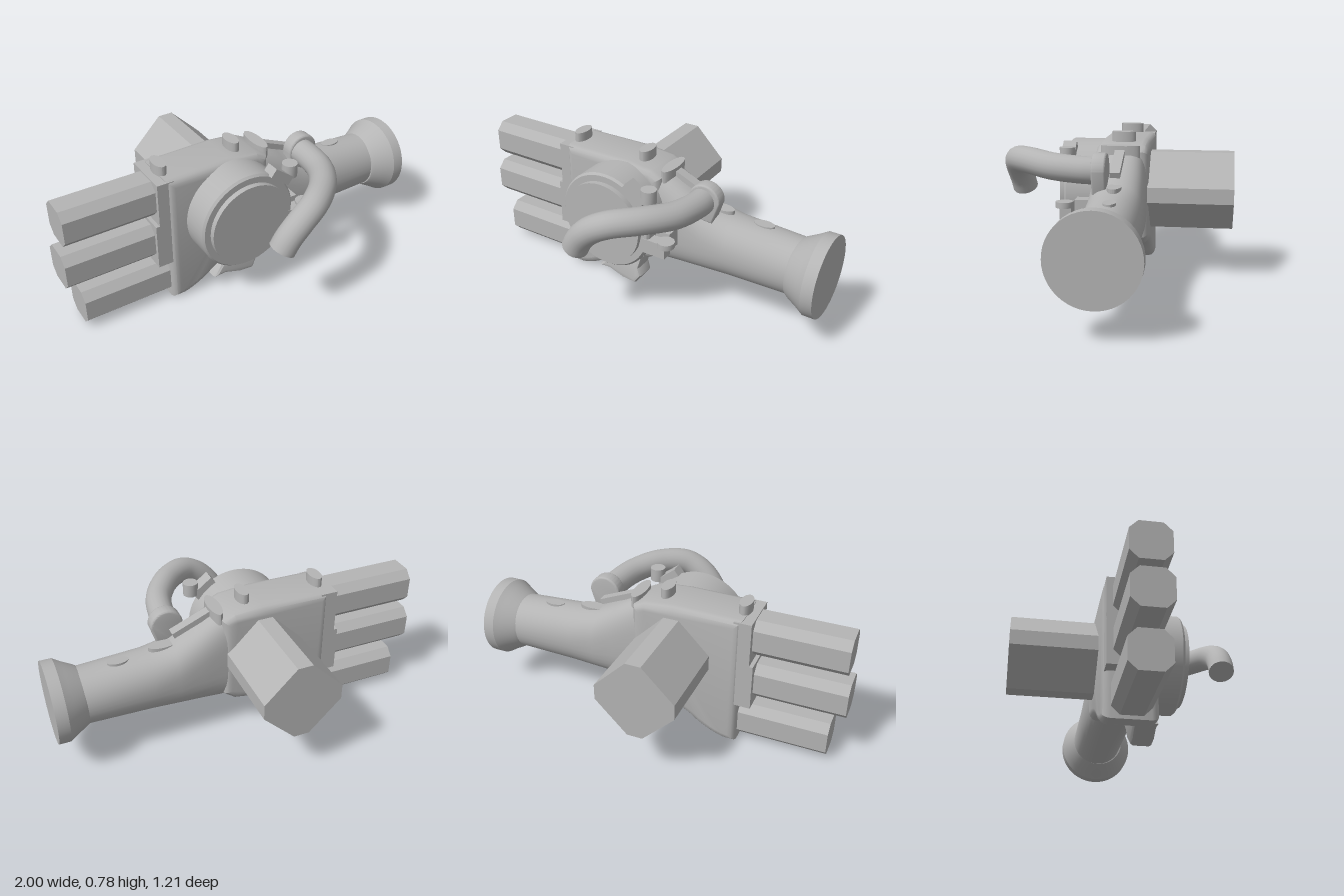
import * as THREE from 'three';
import { toCreasedNormals } from 'three/addons/utils/BufferGeometryUtils.js';

export function createModel() {
  const group = new THREE.Group();
  const grey = new THREE.MeshStandardMaterial({ color: 0xb4b4b4 });
  grey.name = 'plain grey';
  const CZ = -0.03; // centre plane of hand and forearm

  function add(name, geometry, x = 0, y = 0, z = 0, crease = 0.6) {
    const mesh = new THREE.Mesh(toCreasedNormals(geometry, crease), grey);
    mesh.name = name;
    mesh.position.set(x, y, z);
    group.add(mesh);
    return mesh;
  }

  // Extrusion from z0 to z1 with a bevel that stays inside the outline
  function slab(shape, z0, z1, bevel, segments = 3) {
    const g = new THREE.ExtrudeGeometry(shape, {
      depth: z1 - z0 - 2 * bevel, bevelEnabled: bevel > 0, bevelSize: bevel,
      bevelThickness: bevel, bevelOffset: -bevel, bevelSegments: segments, curveSegments: 20,
    });
    return g.translate(0, 0, z0 + bevel);
  }
  const polygon = (pts) => new THREE.Shape(pts.map(([x, y]) => new THREE.Vector2(x, y)));

  // Octagon: a square of half width h with its corners cut by c
  const octagon = (h, c) => polygon([
    [h, c - h], [h, h - c], [h - c, h], [c - h, h],
    [-h, h - c], [-h, c - h], [c - h, -h], [h - c, -h],
  ]);

  // Palm with a sloping underside
  const palm = new THREE.Shape();
  palm.moveTo(-0.46, 0.74);
  palm.lineTo(-0.46, 0.01);
  palm.lineTo(-0.40, 0.01);
  palm.quadraticCurveTo(-0.33, 0.02, -0.24, 0.08);
  palm.quadraticCurveTo(-0.12, 0.18, 0.06, 0.205);
  palm.lineTo(0.12, 0.25);
  palm.lineTo(0.12, 0.70);
  palm.lineTo(0.06, 0.73);
  palm.lineTo(-0.1, 0.745);
  add('palm', slab(palm, -0.17, 0.105, 0.04));

  // Stepped knuckle plates
  add('upperKnuckle', new THREE.BoxGeometry(0.09, 0.24, 0.25), -0.465, 0.615, -0.035);
  add('middleKnuckle', new THREE.BoxGeometry(0.12, 0.25, 0.25), -0.47, 0.375, -0.035);

  // Three angular fingers
  [['upperFinger', -0.98, 0.63], ['middleFinger', -1, 0.383], ['lowerFinger', -0.93, 0.127]]
    .forEach(([name, x, y]) => {
      const g = slab(octagon(0.098, 0.042), 0, 0.52, 0).rotateY(Math.PI / 2);
      add(name, g, x, y, CZ, 0.3);
    });

  // Thumb: a diamond bar with narrow cut corners, pointing back
  const a = 0.205, b = 0.04;
  const thumb = polygon([[a, -b], [a, b], [b, a], [-b, a], [-a, b], [-a, -b], [-b, -a], [b, -a]]);
  add('thumb', slab(thumb, -0.61, -0.05, 0), -0.1, 0.475, 0, 0.3);

  // Forearm lofted from rounded sections: x, bottom, top, half depth, squareness
  const sections = [
    [0.0, 0.2, 0.735, 0.13, 3.5], [0.12, 0.208, 0.71, 0.135, 3.2], [0.24, 0.215, 0.645, 0.14, 2.8],
    [0.36, 0.222, 0.575, 0.142, 2.5], [0.5, 0.226, 0.55, 0.143, 2.2], [0.86, 0.233, 0.53, 0.145, 2],
  ];
  const N = 40, pos = [], index = [];
  sections.forEach(([x, y0, y1, hz, power], i) => {
    for (let j = 0; j < N; j++) {
      const t = (j / N) * Math.PI * 2;
      const c = Math.cos(t), s = Math.sin(t), e = 2 / power;
      pos.push(x, (y0 + y1) / 2 + (y1 - y0) / 2 * Math.sign(s) * Math.abs(s) ** e,
        CZ + hz * Math.sign(c) * Math.abs(c) ** e);
      if (i < sections.length - 1) {
        const p = i * N + j, q = i * N + (j + 1) % N;
        index.push(p, p + N, q + N, p, q + N, q);
      }
    }
  });
  const arm = new THREE.BufferGeometry();
  arm.setAttribute('position', new THREE.Float32BufferAttribute(pos, 3));
  arm.setIndex(index);
  add('forearm', arm);

  // Flared cuff
  const cuff = [[0, 0.82], [0.147, 0.83], [0.158, 0.845], [0.19, 0.905], [0.212, 0.94], [0.212, 1], [0, 1]];
  add('cuff', new THREE.LatheGeometry(cuff.map(([r, x]) => new THREE.Vector2(r, x)), 48)
    .rotateZ(-Math.PI / 2), 0, 0.378, -0.025, 0.5);

  // Round drum on the front of the palm, with a raised cap
  const drum = [[0, -0.05], [0.265, -0.05], [0.265, 0.25], [0.255, 0.262], [0.222, 0.262], [0.222, 0.29], [0, 0.29]];
  add('drum', new THREE.LatheGeometry(drum.map(([r, z]) => new THREE.Vector2(r, z)), 56)
    .rotateX(Math.PI / 2), -0.103, 0.475, 0);

  // Curved pipe and its collar
  const path = new THREE.CatmullRomCurve3([
    [0.352, 0.64, 0.03], [0.35, 0.643, 0.13], [0.315, 0.652, 0.28], [0.22, 0.664, 0.42],
    [0.1, 0.65, 0.51], [0.01, 0.6, 0.532], [-0.055, 0.53, 0.53], [-0.087, 0.472, 0.525],
  ].map((p) => new THREE.Vector3(...p)));
  add('pipe', new THREE.TubeGeometry(path, 48, 0.068, 20));
  const end = add('pipeEnd', new THREE.CircleGeometry(0.068, 20));
  end.position.copy(path.getPoint(1));
  end.quaternion.setFromUnitVectors(new THREE.Vector3(0, 0, 1), path.getTangent(1));
  const collar = new THREE.Shape();
  collar.moveTo(0.445, 0.61);
  collar.absarc(0.36, 0.645, 0.085, 0, Math.PI, false);
  collar.lineTo(0.275, 0.56);
  collar.lineTo(0.32, 0.53);
  collar.lineTo(0.41, 0.53);
  add('collar', slab(collar, 0.005, 0.075, 0.01));

  // Oval studs on top: x, top, base, half length in x, half length in z, z
  [[-0.44, 0.79, 0.68, 0.032, 0.062, CZ], [-0.028, 0.79, 0.68, 0.032, 0.062, CZ],
    [0.125, 0.735, 0.6, 0.033, 0.1, CZ], [0.405, 0.575, 0.5, 0.075, 0.035, -0.035],
    [0.64, 0.548, 0.48, 0.055, 0.03, -0.045]].forEach(([x, top, base, rx, rz, z]) => {
    add('topStud', new THREE.CylinderGeometry(1, 1, top - base, 24).scale(rx, 1, rz),
      x, (top + base) / 2, z);
  });

  // Side latch on the drum: block, head and peg
  add('latchBlock', new THREE.BoxGeometry(0.15, 0.08, 0.06), 0.18, 0.41, 0.235);
  add('latchHead', new THREE.CylinderGeometry(0.045, 0.045, 0.03, 16), 0.25, 0.448, 0.24);
  add('latchArm', new THREE.BoxGeometry(0.14, 0.1, 0.1), 0.17, 0.42, 0.14);
  add('upperLatch', new THREE.BoxGeometry(0.13, 0.05, 0.07), 0.08, 0.685, 0.245).rotation.z = -0.65;
  add('upperPeg', new THREE.CylinderGeometry(0.04, 0.04, 0.07, 16), 0.15, 0.69, 0.24);

  // Sloping rail beside the wrist
  add('wristRail', new THREE.BoxGeometry(0.24, 0.03, 0.05), 0.24, 0.665, -0.03).rotation.z = -0.4;

  // Hooked lug under the palm
  const lug = polygon([[-0.24, 0.085], [-0.17, 0.085], [-0.08, 0.06], [0, 0.055], [0.03, 0.1],
    [0.01, 0.14], [0.025, 0.21], [-0.04, 0.24], [-0.14, 0.2]]);
  const lugGeometry = slab(lug, 0, 0.12, 0.02, 2);
  const lp = lugGeometry.attributes.position;
  for (let i = 0; i < lp.count; i++) { // lean outward toward the lower tip
    lp.setZ(i, lp.getZ(i) + (0.2 - lp.getY(i)) * 0.25);
  }
  add('lowerLug', lugGeometry);

  return group;
}
